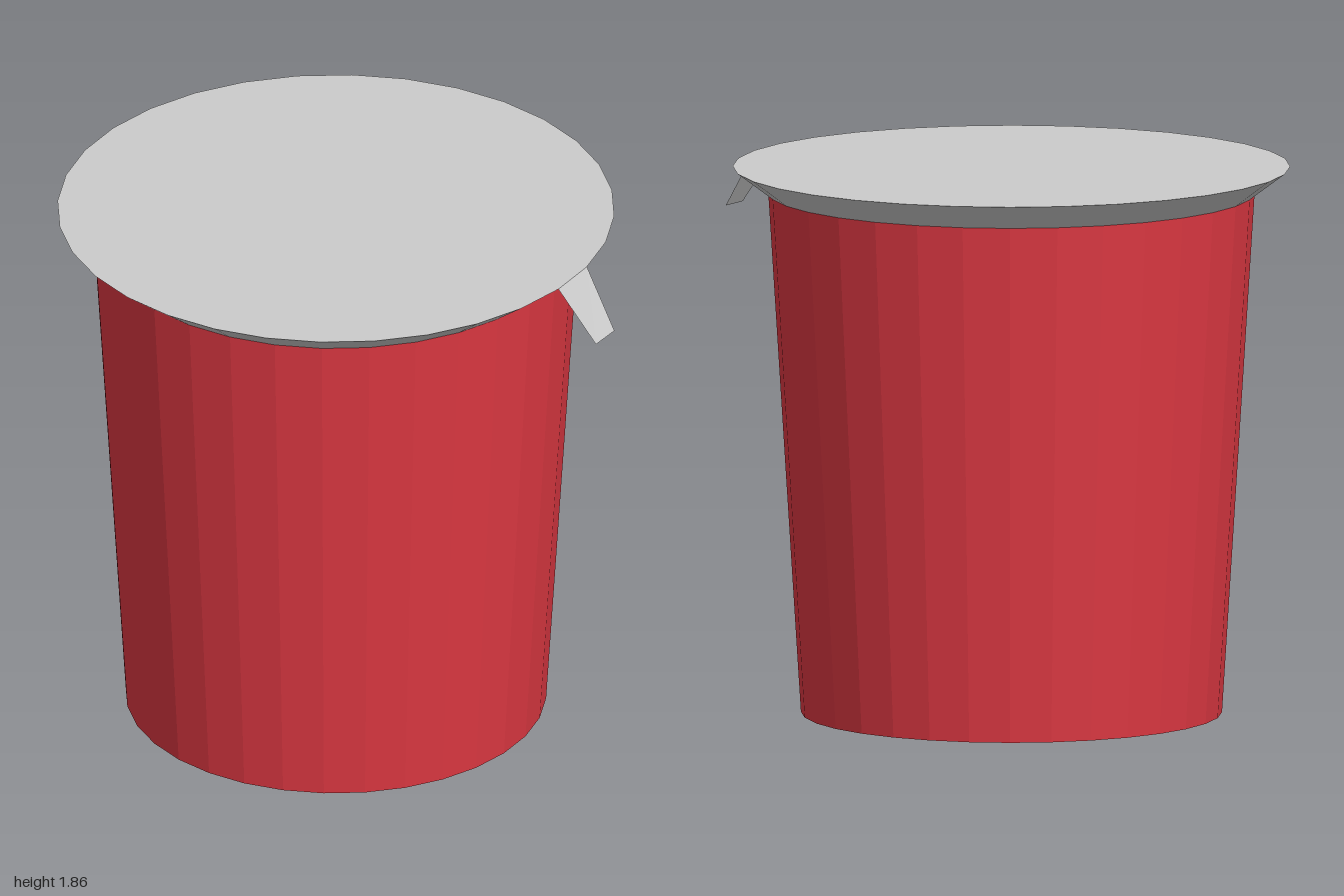
import * as THREE from 'three';

const SIDES = 32;
const RIM_Y = 1.86, RIM_R = 0.94, NECK_Y = 1.77, NECK_R = 0.82, BASE_R = 0.71;

export function createModel() {
  const model = new THREE.Group();
  model.name = 'lidded cup';

  const red = new THREE.MeshStandardMaterial({ color: 0xdd3842, flatShading: true });
  const grey = new THREE.MeshStandardMaterial({ color: 0xcccccc, flatShading: true });
  const sheet = new THREE.MeshStandardMaterial({ color: 0xcccccc, flatShading: true, side: THREE.DoubleSide });

  const add = (name, geometry, material, y = 0) => {
    const mesh = new THREE.Mesh(geometry, material);
    mesh.name = name;
    mesh.position.set(-0.06, y, 0);
    model.add(mesh);
  };

  // Tapered cup with a closed base
  add('cupBody', new THREE.CylinderGeometry(NECK_R, BASE_R, NECK_Y, SIDES), red, NECK_Y / 2);

  // Flared rim, open at both ends, closed by the flat lid
  add('rim', new THREE.CylinderGeometry(RIM_R, NECK_R, RIM_Y - NECK_Y, SIDES, 1, true), grey, (RIM_Y + NECK_Y) / 2);
  add('lid', new THREE.CircleGeometry(RIM_R, SIDES).rotateX(-Math.PI / 2), grey, RIM_Y);

  // Pull tab: a tapered sheet folded down from one edge of the lid
  const a = (Math.PI * 2) / SIDES;
  const tab = new THREE.BufferGeometry();
  tab.setAttribute('position', new THREE.Float32BufferAttribute([
    RIM_R, RIM_Y, 0,
    RIM_R * Math.cos(a), RIM_Y, RIM_R * Math.sin(a),
    1.046, 1.66, 0.149,
    1.06, 1.66, 0.035,
  ], 3));
  tab.setIndex([0, 1, 2, 0, 2, 3]);
  tab.computeVertexNormals();
  add('pullTab', tab, sheet);

  return model;
}
